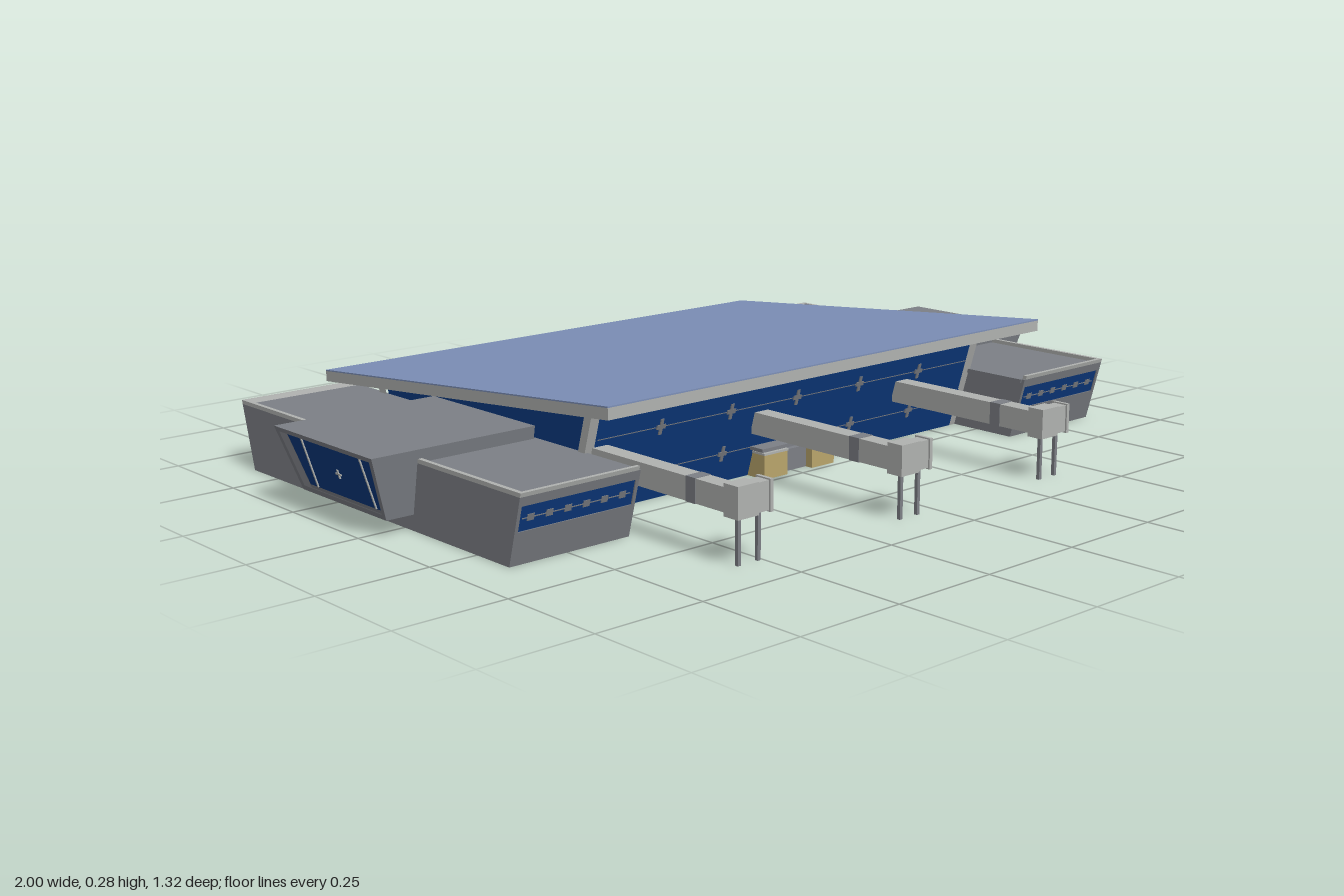
import * as THREE from 'three';

const mat = (name, color) => {
  const m = new THREE.MeshStandardMaterial({ color });
  m.name = name;
  return m;
};

export function createModel() {
  const model = new THREE.Group();
  model.name = 'terminalBuilding';
  const grey = mat('wallGrey', 0x7d8086);
  const light = mat('lightGrey', 0xb0b2b0);
  const blue = mat('glassBlue', 0x0c3a80);
  const roofBlue = mat('roofBlue', 0x7d90b8);
  const yellow = mat('doorYellow', 0xb9a56c);
  let group = model;

  const add = (name, geo, material) => {
    const mesh = new THREE.Mesh(geo, material);
    mesh.name = name;
    group.add(mesh);
    return mesh;
  };
  const startGroup = (name) => {
    group = new THREE.Group();
    group.name = name;
    model.add(group);
  };

  // Extrude a side outline of [z, y] points between two x positions
  const toV = (pts) => pts.map(([z, y]) => new THREE.Vector2(-z, y));
  const prism = (name, pts, xa, xb, material, hole) => {
    const shape = new THREE.Shape(toV(pts));
    if (hole) shape.holes.push(new THREE.Path(toV(hole)));
    const x0 = Math.min(xa, xb);
    const geo = new THREE.ExtrudeGeometry(shape, { depth: Math.abs(xb - xa), bevelEnabled: false });
    geo.rotateY(Math.PI / 2).translate(x0, 0, 0);
    return add(name, geo, material);
  };
  const box = (name, x0, x1, y0, y1, z0, z1, material) => {
    const geo = new THREE.BoxGeometry(Math.abs(x1 - x0), y1 - y0, Math.abs(z1 - z0));
    geo.translate((x0 + x1) / 2, (y0 + y1) / 2, (z0 + z1) / 2);
    return add(name, geo, material);
  };

  // Leaning wall planes: z as a function of height
  const hallFront = (y) => 0.18 + 0.29 * y;
  const hallBack = (y) => -(0.49 + 0.29 * y);
  const wingFront = (y) => 0.355 + 0.27 * y;
  const wingBack = (y) => -(0.6 + 0.27 * y);
  const roofUnder = (z) => 0.253 - (0.375 - z) * 0.09;
  // Strip of a leaning wall, set back by inset
  const strip = (name, plane, y0, y1, inset, thick, xa, xb, material) => {
    const s = Math.sign(plane(0));
    const a = s * inset, b = s * (inset + thick);
    return prism(name, [[plane(y0) - a, y0], [plane(y1) - a, y1], [plane(y1) - b, y1], [plane(y0) - b, y0]], xa, xb, material);
  };

  // Sloping roof slab with a blue covering
  startGroup('roof');
  prism('roofSlab', [[0.375, 0.253], [0.375, 0.278], [-0.66, 0.184], [-0.66, 0.16]], -0.66, 0.66, light);
  prism('roofCovering', [[0.375, 0.278], [0.375, 0.281], [-0.66, 0.187], [-0.66, 0.184]], -0.66, 0.66, roofBlue);

  // Glazed hall, open below
  startGroup('hall');
  const ft = 0.241, bt = 0.171;
  for (const [plane, top] of [[hallFront, ft], [hallBack, bt]]) {
    strip('hallGlass', plane, 0, top, 0, 0.006, -0.575, 0.575, blue);
    for (const y of [0.07, 0.17]) {
      if (y + 0.02 > top) continue;
      strip('glazingBar', plane, y - 0.001, y + 0.001, -0.001, 0.008, -0.57, 0.57, grey);
      for (let i = -2; i <= 2; i++) {
        const x = i * 0.2;
        strip('glassFitting', plane, y - 0.018, y + 0.018, -0.003, 0.012, x - 0.004, x + 0.004, grey);
        strip('glassFitting', plane, y - 0.005, y + 0.005, -0.003, 0.012, x - 0.012, x + 0.012, grey);
      }
    }
  }
  const outline = [[hallFront(0), 0], [hallFront(ft), ft], [hallBack(bt), bt], [hallBack(0), 0]];
  const opening = [[hallFront(0.008) - 0.022, 0.008], [hallFront(ft) - 0.024, ft - 0.006],
    [hallBack(bt) + 0.03, bt - 0.004], [hallBack(0.008) + 0.022, 0.008]];
  for (const s of [-1, 1]) {
    prism('hallEndFrame', outline, s * 0.572, s * 0.598, light, opening);
    prism('hallEndGlass', opening, s * 0.578, s * 0.592, blue);
  }

  // Entrances: pairs of doors under a canopy, one in front and two at the back
  const entrance = (cx, s) => {
    startGroup('entrance');
    const wall = s > 0 ? 0.18 : -0.49;
    for (const d of [-1, 1]) {
      const x = cx + d * 0.074;
      box('doorPorch', x - 0.035, x + 0.035, 0, 0.055, wall, wall + s * 0.055, yellow);
      box('porchFrame', x - 0.037, x + 0.037, 0.055, 0.06, wall, wall + s * 0.057, light);
    }
    box('porchScreen', cx - 0.039, cx + 0.039, 0, 0.05, wall, wall + s * 0.035, grey);
    box('canopy', cx - 0.12, cx + 0.12, 0.064, 0.072, wall, wall + s * 0.06, grey);
  };
  entrance(0.005, 1);
  entrance(0.3, -1);
  entrance(-0.3, -1);

  // Side wings with cross blocks
  const slant = (mesh) => {
    const p = mesh.geometry.attributes.position;
    for (let i = 0; i < p.count; i++) {
      const x = p.getX(i);
      if (Math.abs(x) > 0.8) p.setX(i, x - Math.sign(x) * 0.045 * (0.175 - p.getY(i)) / 0.14);
    }
    mesh.geometry.computeVertexNormals();
  };
  for (const s of [1, -1]) {
    startGroup(s > 0 ? 'leftWing' : 'rightWing');
    const top = 0.146;
    prism('wingSideWall', [[wingFront(0), 0], [wingFront(top), top], [wingBack(top), top], [wingBack(0), 0]], s * 0.882, s * 0.89, grey);
    prism('wingRoof', [[wingFront(0.137) - 0.008, 0.137], [wingFront(top) - 0.008, top],
      [wingBack(top) + 0.008, top], [wingBack(0.137) + 0.008, 0.137]], s * 0.59, s * 0.885, grey);
    prism('parapetSide', [[wingFront(top), top], [wingFront(0.155), 0.155], [wingBack(0.155), 0.155], [wingBack(top), top]], s * 0.88, s * 0.89, light);
    for (const [plane, hall] of [[wingFront, hallFront], [wingBack, hallBack]]) {
      strip('parapetEnd', plane, top, 0.155, 0, 0.01, s * 0.598, s * 0.88, light);
      strip('wingLowerWall', plane, 0, 0.072, 0, 0.008, s * 0.598, s * 0.882, grey);
      strip('wingUpperWall', plane, 0.126, top, 0, 0.008, s * 0.598, s * 0.882, grey);
      strip('wingWindow', plane, 0.072, 0.126, 0.003, 0.004, s * 0.598, s * 0.882, blue);
      strip('windowBar', plane, 0.098, 0.1, 0.001, 0.007, s * 0.61, s * 0.875, grey);
      for (let i = 0; i < 6; i++) {
        const x = s * (0.63 + i * 0.045);
        strip('windowFitting', plane, 0.092, 0.106, 0.001, 0.007, x - 0.008, x + 0.008, grey);
      }
      prism('wingInnerWall', [[plane(0), 0], [plane(top), top], [hall(top), top], [hall(0), 0]], s * 0.594, s * 0.602, grey);
    }

    // Cross block with an inset end window and outward-leaning end
    const rim = [[0.035, 0.035], [0.06, 0.175], [-0.31, 0.175], [-0.28, 0.035]];
    const pane = [[0.025, 0.046], [0.046, 0.165], [-0.295, 0.165], [-0.269, 0.046]];
    slant(prism('crossBlock', rim, s * 0.6, s * 0.98, grey));
    slant(prism('crossBlockRim', rim, s * 0.98, s, grey, pane));
    slant(prism('endWindow', pane, s * 0.98, s * 0.985, blue));
    for (const z of [-0.015, -0.235]) {
      slant(prism('endWindowBar', [[z - 0.002, 0.047], [z - 0.002, 0.164], [z + 0.002, 0.164], [z + 0.002, 0.047]], s * 0.985, s * 0.988, light));
    }
    for (const [w, h] of [[0.01, 0.002], [0.002, 0.01]]) {
      slant(prism('endWindowFitting', [[-0.125 - w, 0.1 - h], [-0.125 - w, 0.1 + h], [-0.125 + w, 0.1 + h], [-0.125 + w, 0.1 - h]], s * 0.985, s * 0.988, light));
    }
  }

  // Boarding bridges
  for (const x of [-0.58, -0.125, 0.328]) {
    startGroup('boardingBridge');
    box('bridgeTunnel', x, x + 0.04, 0.105, 0.155, 0.215, 0.63, light);
    box('tunnelJoint', x - 0.001, x + 0.041, 0.104, 0.156, 0.512, 0.54, grey);
    box('bridgeCab', x, x + 0.055, 0.097, 0.163, 0.62, 0.66, light);
    box('cabNeck', x + 0.055, x + 0.085, 0.1, 0.16, 0.624, 0.656, light);
    box('cabMouth', x + 0.085, x + 0.093, 0.097, 0.163, 0.618, 0.66, light);
    for (const dx of [0.018, 0.07]) {
      box('bridgeLeg', x + dx - 0.004, x + dx + 0.004, 0, 0.1, 0.637, 0.645, grey);
    }
  }
  return model;
}
